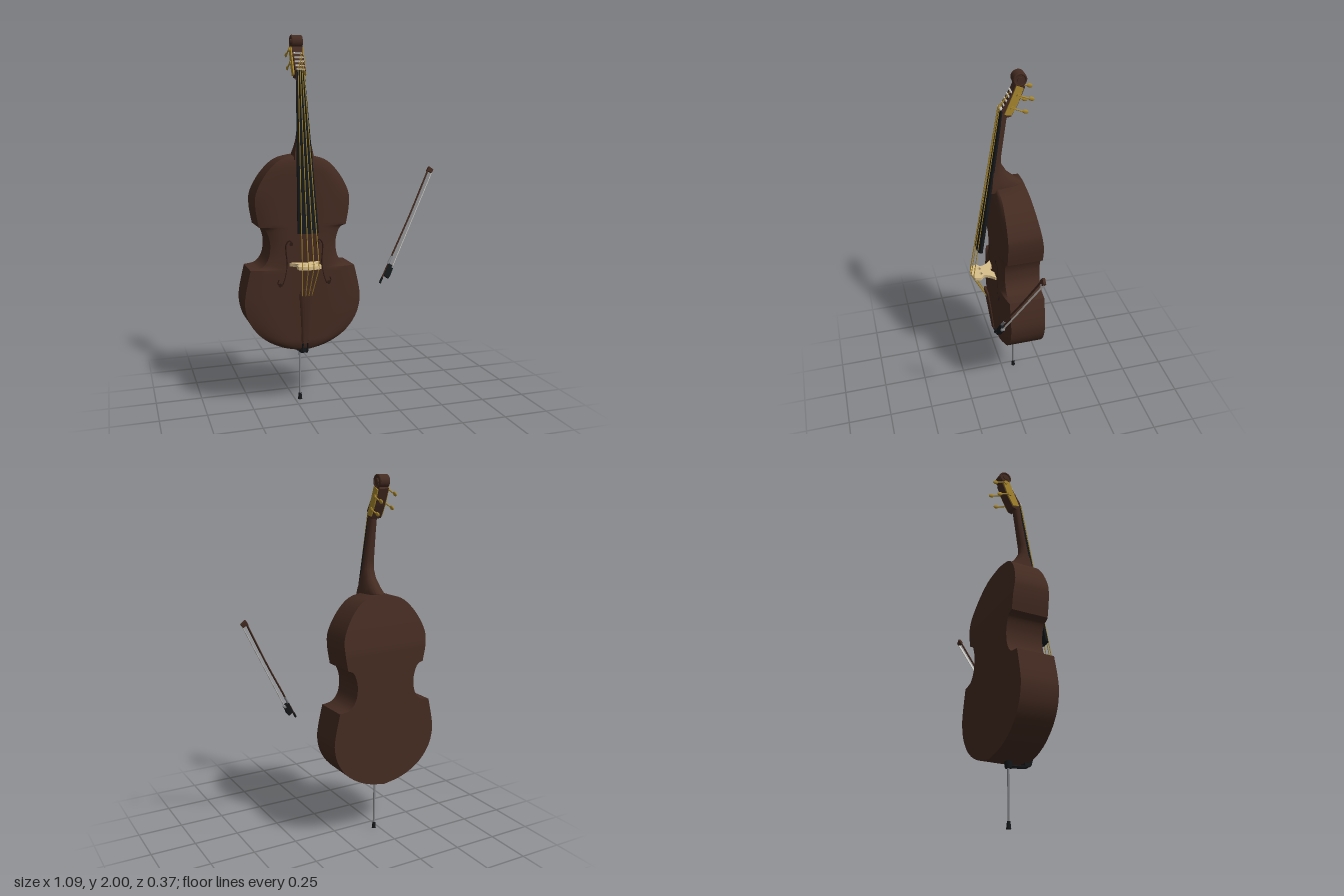
import * as THREE from 'three';
import { toCreasedNormals } from 'three/addons/utils/BufferGeometryUtils.js';

const mat = (name, color, side = THREE.FrontSide) => {
  const m = new THREE.MeshStandardMaterial({ color, side });
  m.name = name;
  return m;
};
const V = (x, y, z) => new THREE.Vector3(x, y, z);

// Skin closed rings (ordered counter-clockwise from above, bottom to top)
function loft(rings, crease = 0.6) {
  const n = rings[0].length, pos = [], idx = [];
  rings.forEach(r => r.forEach(p => pos.push(p.x, p.y, p.z)));
  for (let i = 0; i < rings.length - 1; i++) {
    for (let j = 0; j < n; j++) {
      const a = i * n + j, b = i * n + (j + 1) % n;
      idx.push(a, b, b + n, a, b + n, a + n);
    }
  }
  [0, rings.length - 1].forEach((r, end) => {
    const c = rings[r].reduce((s, p) => s.add(p), V(0, 0, 0)).divideScalar(n);
    const k = pos.push(c.x, c.y, c.z) / 3 - 1;
    for (let j = 0; j < n; j++) {
      const a = r * n + j, b = r * n + (j + 1) % n;
      end ? idx.push(k, a, b) : idx.push(k, b, a);
    }
  });
  const g = new THREE.BufferGeometry();
  g.setAttribute('position', new THREE.Float32BufferAttribute(pos, 3));
  g.setIndex(idx);
  return toCreasedNormals(g, crease);
}

// Rounded front or back on a flat opposite face: rows are [y, flatZ, roundZ, halfWidth]
function bar(rows, edge = 0.4) {
  return loft(rows.map(([y, z0, z1, w]) => {
    const ring = [V(w, y, z0), V(-w, y, z0)];
    for (let i = 0; i <= 12; i++) {
      const u = -1 + i / 6;
      ring.push(V(u * w, y, z0 + (z1 - z0) * (edge + (1 - edge) * Math.sqrt(1 - u * u))));
    }
    return z1 > z0 ? ring : ring.reverse();
  }));
}

// Extrude a (z, y) side profile across x
function sideExtrude(points, width) {
  const s = new THREE.Shape(points.map(p => new THREE.Vector2(...p)));
  return new THREE.ExtrudeGeometry(s, { depth: width, bevelEnabled: false })
    .rotateY(-Math.PI / 2).translate(width / 2, 0, 0);
}

// Straight round rod between two points
function rod(a, b, r0, r1 = r0, sides = 10) {
  const d = b.clone().sub(a), len = d.length();
  const g = new THREE.CylinderGeometry(r1, r0, len, sides);
  g.applyQuaternion(new THREE.Quaternion().setFromUnitVectors(V(0, 1, 0), d.normalize()));
  const m = a.clone().add(b).multiplyScalar(0.5);
  return g.translate(m.x, m.y, m.z);
}

const tube = (pts, r) => new THREE.TubeGeometry(
  new THREE.CatmullRomCurve3(pts.map(p => V(...p))), 40, r, 8);

// Hollow-waisted body with an arched front and a back that slopes in near the top
function bodyGeometry() {
  const v2 = list => list.map(p => new THREE.Vector2(...p));
  const segments = [
    [[0, 0.315], [0.117, 0.34], [0.223, 0.398], [0.292, 0.483], [0.318, 0.573], [0.313, 0.652], [0.286, 0.772]],
    [[0.286, 0.772], [0.225, 0.785], [0.19, 0.83], [0.179, 0.89], [0.185, 0.94], [0.205, 0.985], [0.238, 1.0]],
    [[0.238, 1.0], [0.255, 1.1], [0.25, 1.18], [0.196, 1.28], [0.117, 1.353], [0, 1.38]],
  ];
  const outline = segments.flatMap(s => new THREE.SplineCurve(v2(s)).getPoints(24));
  return loft(outline.map(({ x: w, y }) => {
    const back = -0.178 + 0.053 * Math.pow(Math.max(0, (y - 1.08) / 0.3), 1.2);
    const ring = [V(w, y, 0.022), V(w, y, back), V(-w, y, back)];
    for (let i = 0; i <= 20; i++) {
      const u = -1 + i / 10;
      if (i < 20) ring.push(V(u * w, y, 0.022 + 0.026 * Math.min(1, w / 0.18) * (1 - u ** 4)));
    }
    return ring;
  }), 0.55);
}

export function createModel() {
  const model = new THREE.Group();
  const wood = mat('dark brown wood', 0x442b21);
  const hole = mat('hole shadow brown', 0x2b1a14);
  const black = mat('ebony black', 0x15181a);
  const gold = mat('brass', 0xa8872e);
  const cream = mat('pale maple', 0xd9c08c);
  const steel = mat('steel grey', 0x85868a);
  const white = mat('hair white', 0xcfccc6);
  const add = (parent, name, geo, material) => {
    const m = new THREE.Mesh(geo, material);
    m.name = name;
    parent.add(m);
    return m;
  };

  const bass = new THREE.Group();
  bass.name = 'instrument';
  bass.position.x = -0.222;
  model.add(bass);

  add(bass, 'body', bodyGeometry(), wood);

  // Sound holes
  for (const s of [-1, 1]) {
    add(bass, 'soundHole', tube([[0.066, 0.91], [0.08, 0.928], [0.098, 0.91], [0.1, 0.87], [0.095, 0.8],
      [0.113, 0.71], [0.128, 0.685], [0.146, 0.7], [0.14, 0.72]].map(([x, y]) => [s * x, y, 0.0445]), 0.004), hole);
    for (const [x, y] of [[0.072, 0.908], [0.134, 0.69]]) {
      add(bass, 'soundHoleEnd', new THREE.CylinderGeometry(0.01, 0.01, 0.006, 16)
        .rotateX(Math.PI / 2).translate(s * x, y, 0.0455), hole);
    }
  }

  // Neck with its heel, and the fingerboard
  add(bass, 'neck', bar([[1.35, 0.06, -0.127, 0.05], [1.38, 0.055, -0.122, 0.05], [1.41, 0.05, -0.08, 0.044],
    [1.45, 0.045, -0.035, 0.038], [1.5, 0.037, -0.006, 0.033], [1.55, 0.028, -0.006, 0.031],
    [1.7, 0.005, -0.028, 0.025], [1.81, -0.012, -0.044, 0.023]], 0.3), wood);
  add(bass, 'fingerboard', bar([[0.975, 0.118, 0.145, 0.056], [1.36, 0.055, 0.078, 0.041],
    [1.812, -0.014, 0.001, 0.021]], 0.5), black);
  add(bass, 'nut', new THREE.BoxGeometry(0.044, 0.01, 0.022).translate(0, 1.816, -0.008), white);

  // Pegbox, side plates and scroll
  add(bass, 'pegbox', sideExtrude([[-0.005, 1.81], [-0.03, 1.77], [-0.055, 1.775], [-0.09, 1.84],
    [-0.125, 1.925], [-0.11, 1.96], [-0.08, 1.95], [-0.065, 1.91]], 0.056), wood);
  for (const s of [-1, 1]) {
    add(bass, 'pegPlate', sideExtrude([[-0.018, 1.79], [-0.055, 1.783], [-0.088, 1.845],
      [-0.116, 1.92], [-0.08, 1.937], [-0.065, 1.9]], 0.008).translate(s * 0.031, 0, 0), gold);
    add(bass, 'scrollEye', new THREE.CylinderGeometry(0.014, 0.014, 0.01, 20)
      .rotateZ(Math.PI / 2).translate(s * 0.028, 1.963, -0.1), wood);
    add(bass, 'scrollRim', new THREE.TorusGeometry(0.03, 0.006, 8, 28)
      .rotateY(Math.PI / 2).translate(s * 0.025, 1.963, -0.1), wood);
  }
  add(bass, 'scroll', new THREE.CylinderGeometry(0.036, 0.036, 0.052, 32)
    .rotateZ(Math.PI / 2).translate(0, 1.963, -0.1), wood);

  // Tuning pegs, two on each side, and their string rollers
  [[1.9, -0.162], [1.863, -0.151], [1.83, -0.136], [1.798, -0.12]].forEach(([y, z], i) => {
    const s = i % 2 ? 1 : -1;
    add(bass, 'pegShaft', rod(V(s * 0.038, y + 0.028, z + 0.07), V(s * 0.038, y, z), 0.004), gold);
    add(bass, 'pegGear', new THREE.CylinderGeometry(0.011, 0.011, 0.008, 16)
      .rotateZ(Math.PI / 2).translate(s * 0.037, y + 0.022, z + 0.06), gold);
    add(bass, 'pegKnob', new THREE.SphereGeometry(1, 16, 10).scale(0.006, 0.011, 0.017)
      .rotateX(-0.38).translate(s * 0.038, y, z - 0.005), gold);
    add(bass, 'stringRoller', rod(V(-0.024, 1.835 + i * 0.022, -0.019 - i * 0.0125),
      V(0.024, 1.835 + i * 0.022, -0.019 - i * 0.0125), 0.005), white);
  });

  // Bridge: two feet, a narrow middle and an arched crown
  const b = new THREE.Shape();
  b.moveTo(-0.085, 0.042);
  b.lineTo(-0.035, 0.042);
  b.quadraticCurveTo(0, 0.085, 0.035, 0.042);
  b.lineTo(0.085, 0.042);
  b.lineTo(0.08, 0.055);
  b.quadraticCurveTo(0.045, 0.085, 0.045, 0.115);
  b.lineTo(0.064, 0.13);
  b.lineTo(0.06, 0.165);
  b.quadraticCurveTo(0, 0.195, -0.06, 0.165);
  b.lineTo(-0.064, 0.13);
  b.lineTo(-0.045, 0.115);
  b.quadraticCurveTo(-0.045, 0.085, -0.08, 0.055);
  for (const s of [-1, 1]) {
    b.holes.push(new THREE.Path().absellipse(s * 0.024, 0.125, 0.012, 0.008, 0, Math.PI * 2));
  }
  add(bass, 'bridge', new THREE.ExtrudeGeometry(b, { depth: 0.018, bevelEnabled: false })
    .rotateX(Math.PI / 2).translate(0, 0.809, 0), cream);

  // Tailpiece with its cord and saddle
  add(bass, 'tailpiece', bar([[0.365, 0.05, 0.062, 0.02], [0.5, 0.064, 0.08, 0.027],
    [0.63, 0.08, 0.098, 0.038], [0.66, 0.084, 0.102, 0.036], [0.672, 0.088, 0.1, 0.024]], 0.4), wood);
  add(bass, 'saddle', new THREE.BoxGeometry(0.04, 0.03, 0.03).translate(0, 0.318, 0.018), black);
  for (const s of [-1, 1]) {
    add(bass, 'tailCord', tube([[s * 0.012, 0.38, 0.058], [s * 0.014, 0.34, 0.046], [s * 0.014, 0.308, 0.034],
      [s * 0.013, 0.3, 0.0], [s * 0.012, 0.295, -0.07]], 0.005), black);
  }

  // Four strings over the bridge
  for (let i = 0; i < 4; i++) {
    const u = (i - 1.5) / 1.5;
    const top = V(u * 0.015, 1.82, 0.006 - 0.003 * u * u);
    const mid = V(u * 0.045, 0.8, 0.182 - 0.009 * u * u);
    const string = new THREE.Group();
    string.name = 'string';
    bass.add(string);
    add(string, 'stringUpper', rod(mid, top, 0.0025, 0.0025, 6), gold);
    add(string, 'stringLower', rod(V(u * 0.026, 0.635, 0.098 - 0.004 * u * u), mid, 0.0025, 0.0025, 6), gold);
    add(string, 'stringEnd', rod(top, V(u * 0.012, 1.835 + i * 0.022, -0.014 - i * 0.0125), 0.002, 0.002, 6), gold);
  }

  // End pin
  add(bass, 'endPinCollar', rod(V(0, 0.285, -0.075), V(0, 0.325, -0.075), 0.017, 0.022, 20), black);
  add(bass, 'endPinRod', rod(V(0, 0.03, -0.075), V(0, 0.29, -0.075), 0.006, 0.006, 12), steel);
  add(bass, 'endPinFoot', rod(V(0, 0, -0.075), V(0, 0.036, -0.075), 0.012, 0.008, 16), black);

  // Bow, built along its own y with the hair on +x
  const bow = new THREE.Group();
  bow.name = 'bow';
  const d = V(0.348, 0.605, -0.155).normalize();
  const n = V(0.86, -0.5, 0).addScaledVector(d, -d.dot(V(0.86, -0.5, 0))).normalize();
  bow.quaternion.setFromRotationMatrix(new THREE.Matrix4().makeBasis(n, d, n.clone().cross(d)));
  bow.position.set(0.174, 0.688, 0.134);
  model.add(bow);
  add(bow, 'bowStick', tube([[0, 0.02, 0], [0.002, 0.2, 0], [0.005, 0.42, 0], [0, 0.71, 0]], 0.005), wood);
  add(bow, 'bowScrew', rod(V(0, -0.003, 0), V(0, 0.03, 0), 0.006), black);
  add(bow, 'bowGrip', rod(V(0.001, 0.11, 0), V(0.002, 0.16, 0), 0.0065), steel);
  const frog = new THREE.Shape([[0, 0.045], [0.032, 0.04], [0.036, 0.06], [0.034, 0.105], [0.022, 0.115],
    [0, 0.115]].map(p => new THREE.Vector2(...p)));
  add(bow, 'frog', new THREE.ExtrudeGeometry(frog, { depth: 0.018, bevelEnabled: false })
    .translate(0, 0, -0.009), black);
  add(bow, 'frogFerrule', new THREE.BoxGeometry(0.012, 0.014, 0.02).translate(0.029, 0.108, 0), steel);
  const tip = new THREE.Shape([[-0.006, 0.685], [0.006, 0.69], [0.026, 0.69], [0.028, 0.712],
    [-0.004, 0.716]].map(p => new THREE.Vector2(...p)));
  add(bow, 'bowTip', new THREE.ExtrudeGeometry(tip, { depth: 0.014, bevelEnabled: false })
    .translate(0, 0, -0.007), wood);
  add(bow, 'bowHair', new THREE.BoxGeometry(0.003, 0.59, 0.011).rotateZ(0.006).translate(0.027, 0.402, 0), white);

  return model;
}
